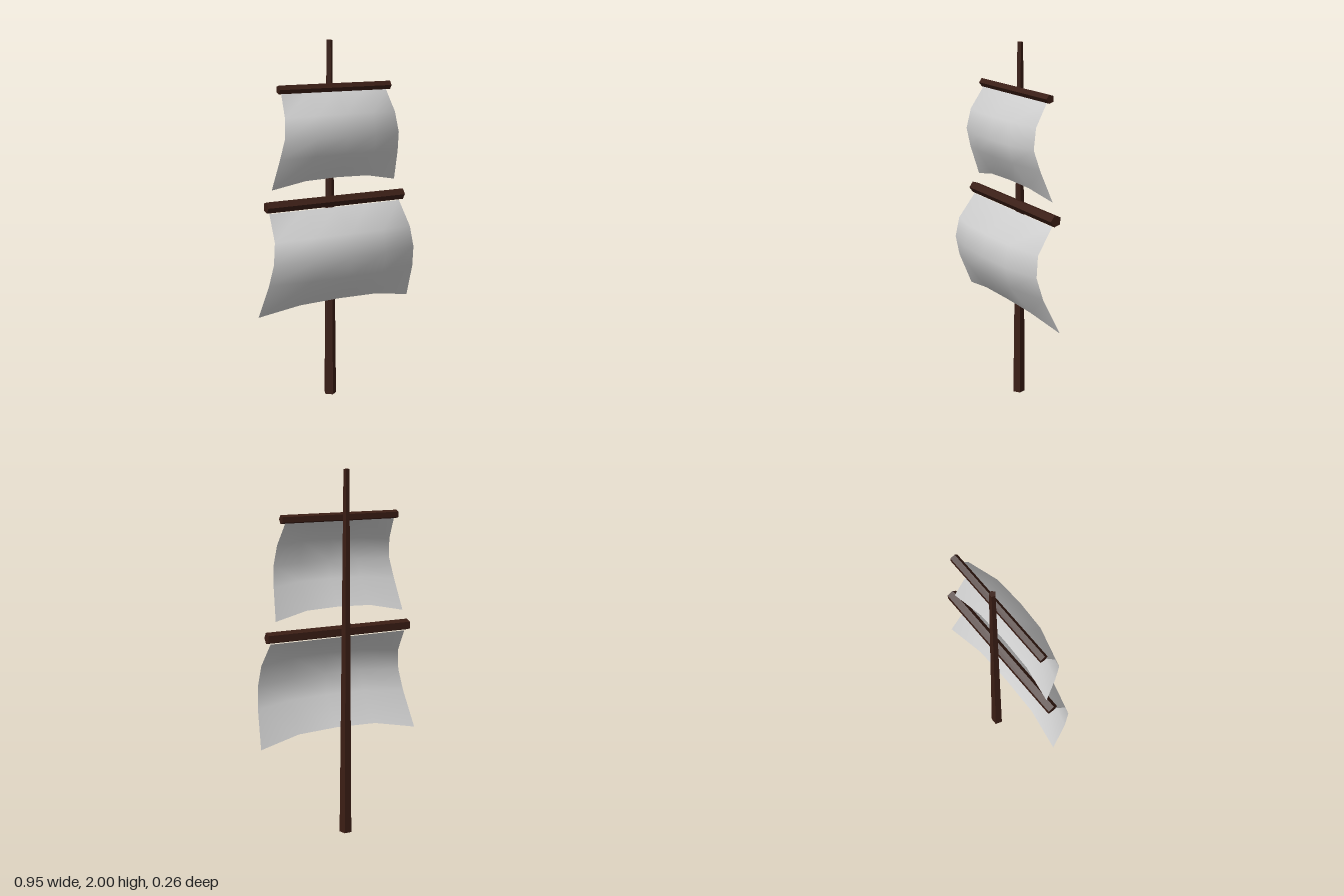
import * as THREE from 'three';

const wood = new THREE.MeshStandardMaterial({ color: 0x3a1d14, flatShading: true });
const cloth = new THREE.MeshStandardMaterial({ color: 0xcccccc, side: THREE.DoubleSide });

// Five-sided spar, one ridge facing forward
function spar(name, rTop, rBottom, length, x, y, z) {
  const mesh = new THREE.Mesh(new THREE.CylinderGeometry(rTop, rBottom, length, 5), wood);
  mesh.name = name;
  mesh.position.set(x, y, z);
  return mesh;
}

// Billowing sail: each row is [halfWidth, edgeY, edgeZ, middleY, middleZ], top to bottom
function sail(name, rows) {
  const columns = [-1, -0.5, 0, 0.5, 1];
  const bulge = [0, 0.86, 1, 0.86, 0];
  const geometry = new THREE.PlaneGeometry(1, 1, columns.length - 1, rows.length - 1);
  const position = geometry.attributes.position;
  rows.forEach(([half, edgeY, edgeZ, midY, midZ], r) => {
    columns.forEach((c, i) => {
      position.setXYZ(
        r * columns.length + i,
        half * c,
        THREE.MathUtils.lerp(edgeY, midY, bulge[i]),
        THREE.MathUtils.lerp(edgeZ, midZ, bulge[i])
      );
    });
  });
  geometry.computeVertexNormals();
  const mesh = new THREE.Mesh(geometry, cloth);
  mesh.name = name;
  return mesh;
}

export function createModel() {
  const group = new THREE.Group();
  group.name = 'mastWithSails';

  // Tapered mast
  group.add(spar('mast', 0.0165, 0.035, 2, -0.01, 1, -0.104));

  // Horizontal yards
  const lowerYard = spar('lowerYard', 0.032, 0.032, 0.85, 0.004, 1.135, -0.052);
  const upperYard = spar('upperYard', 0.024, 0.024, 0.68, 0.005, 1.751, -0.064);
  for (const yard of [lowerYard, upperYard]) {
    yard.rotation.z = Math.PI / 2;
    group.add(yard);
  }

  // Sails
  group.add(sail('lowerSail', [
    [0.405, 1.10, -0.045, 1.10, -0.045],
    [0.42, 0.965, 0.05, 0.98, 0.115],
    [0.435, 0.85, 0.067, 0.855, 0.132],
    [0.45, 0.73, 0.035, 0.74, 0.11],
    [0.473, 0.533, -0.057, 0.585, -0.018],
  ]));
  group.add(sail('upperSail', [
    [0.32, 1.73, -0.06, 1.73, -0.06],
    [0.335, 1.61, 0.014, 1.62, 0.07],
    [0.348, 1.5, 0.035, 1.5, 0.087],
    [0.362, 1.39, 0.003, 1.405, 0.066],
    [0.381, 1.222, -0.062, 1.267, -0.032],
  ]));

  return group;
}
